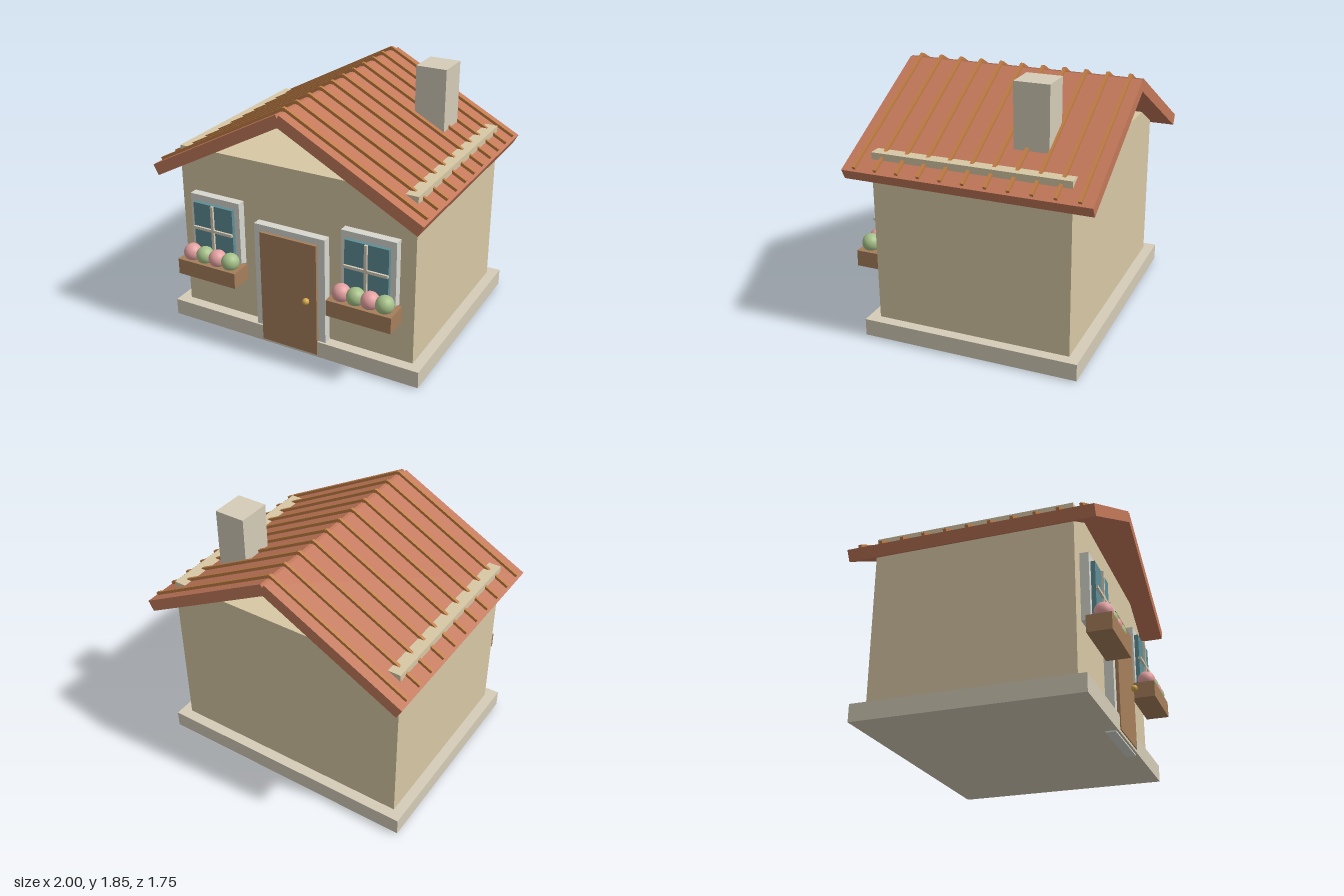
import * as THREE from 'three';

const paint = (color) => new THREE.MeshStandardMaterial({ color });
const WALL = paint(0xd8c8a5), STONE = paint(0xd5ccb8), TRIM = paint(0xd8d8d0), WOOD = paint(0xa67f5b);
const GLASS = paint(0x5e8e96), ROOF = paint(0xc2785a), RIB = paint(0xc17d45), MULLION = paint(0xd5ccb8);
const PINK = paint(0xe4a0a0), GREEN = paint(0xa5c088), GOLD = paint(0xd4a84a);

// Box given by its min and max along each axis
function box(parent, name, mat, [x0, x1], [y0, y1], [z0, z1]) {
  const mesh = new THREE.Mesh(new THREE.BoxGeometry(x1 - x0, y1 - y0, z1 - z0), mat);
  mesh.position.set((x0 + x1) / 2, (y0 + y1) / 2, (z0 + z1) / 2);
  mesh.name = name;
  parent.add(mesh);
  return mesh;
}

function ball(parent, name, mat, radius, x, y, z) {
  const mesh = new THREE.Mesh(new THREE.SphereGeometry(radius, 24, 16), mat);
  mesh.position.set(x, y, z);
  mesh.name = name;
  parent.add(mesh);
}

// One roof slope: a tilted slab with raised ribs, running down towards +x
function roofSlope() {
  const slope = new THREE.Group();
  const tilt = new THREE.Group();
  tilt.position.set(0.012, 1.753, 0);
  tilt.rotation.z = -THREE.MathUtils.degToRad(28.1);
  box(tilt, 'roofSlab', ROOF, [0, 1.12], [-0.08, 0], [-0.854, 0.854]);
  for (let i = -5; i <= 5; i++) {
    const z = i * 0.1536;
    box(tilt, 'roofRib', RIB, [-0.02, 1.1], [-0.004, 0.02], [z - 0.011, z + 0.011]);
  }
  slope.add(tilt);
  return slope;
}

// Window with frame, pane, cross bars and a planter, centred on x = 0
function makeWindow() {
  const win = new THREE.Group();
  box(win, 'windowFrame', TRIM, [-0.197, 0.197], [0.55, 1.02], [0.665, 0.731]);
  box(win, 'windowPane', GLASS, [-0.157, 0.157], [0.6, 0.972], [0.72, 0.76]);
  box(win, 'verticalBar', MULLION, [-0.01, 0.01], [0.6, 0.972], [0.75, 0.776]);
  box(win, 'horizontalBar', MULLION, [-0.157, 0.157], [0.776, 0.796], [0.75, 0.775]);
  box(win, 'flowerBox', WOOD, [-0.233, 0.233], [0.45, 0.565], [0.709, 0.873]);
  for (let i = 0; i < 4; i++) {
    ball(win, 'flower', i % 2 ? GREEN : PINK, 0.063, (i - 1.5) * 0.104, 0.606, 0.803);
  }
  return win;
}

export function createModel() {
  const house = new THREE.Group();
  house.name = 'house';

  // Plinth and wall block, whose upper side edges rise through the roof
  box(house, 'plinth', STONE, [-0.965, 0.965], [0.01, 0.13], [-0.785, 0.748]);
  box(house, 'walls', WALL, [-0.89, 0.89], [0.125, 1.332], [-0.708, 0.671]);

  // Roof: same slope turned half round for the other side
  ['leftRoof', 'rightRoof'].forEach((name, i) => {
    const slope = roofSlope();
    slope.name = name;
    slope.position.z = -0.0185;
    slope.rotation.y = i * Math.PI;
    house.add(slope);
  });
  box(house, 'chimney', STONE, [0.448, 0.67], [1.365, 1.845], [-0.475, -0.232]);

  // Door
  box(house, 'doorFrame', TRIM, [-0.27, 0.27], [0, 0.91], [0.665, 0.733]);
  box(house, 'door', WOOD, [-0.216, 0.216], [0.03, 0.864], [0.72, 0.755]);
  ball(house, 'doorKnob', GOLD, 0.024, 0.145, 0.441, 0.773);

  // Windows
  for (const side of [-1, 1]) {
    const win = makeWindow();
    win.name = side > 0 ? 'leftWindow' : 'rightWindow';
    win.position.x = side * 0.586;
    house.add(win);
  }
  return house;
}
